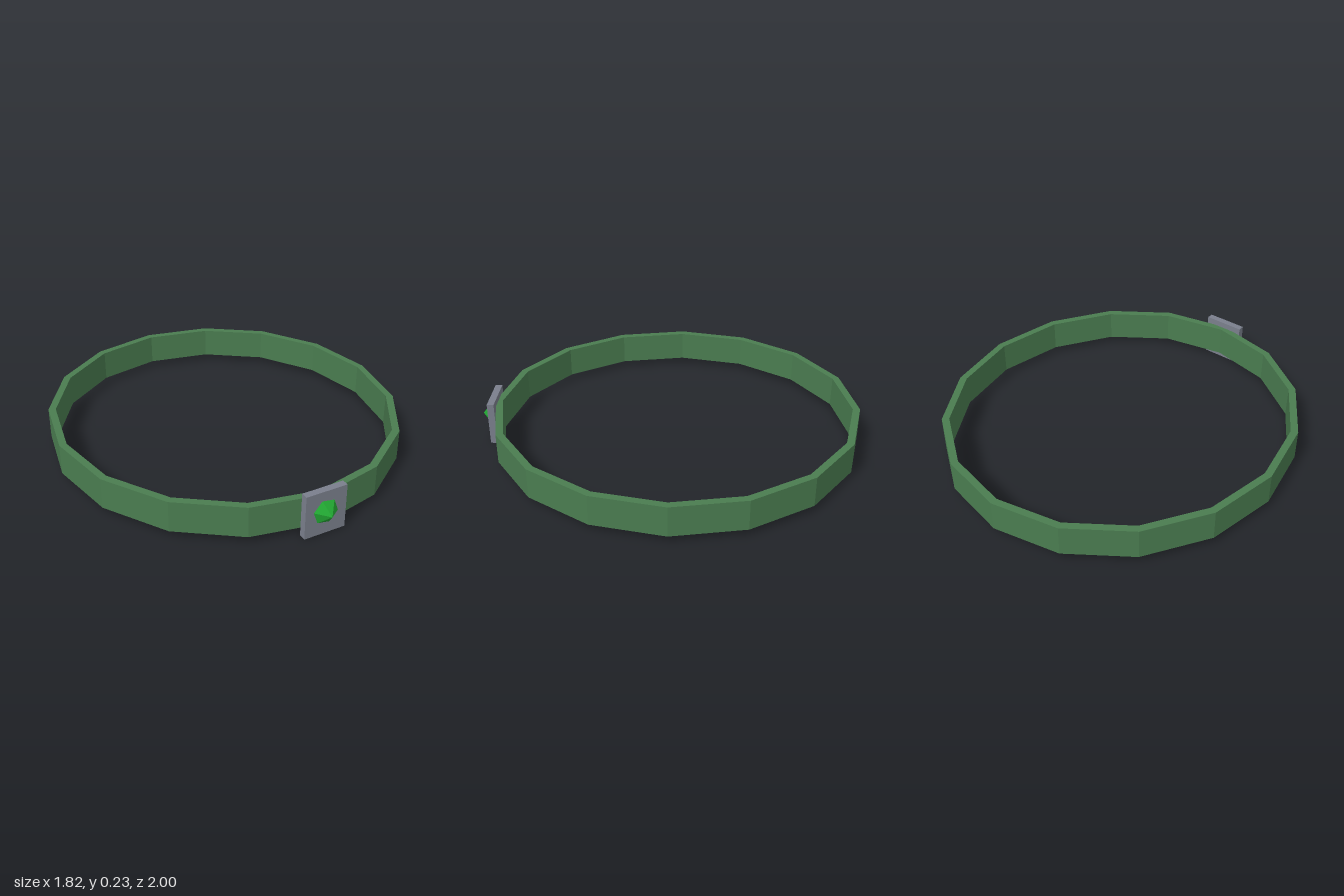
import * as THREE from 'three';

const SIDES = 16;

// Faceted ellipse with a corner at each axis
function ellipsePoints(rx, rz) {
  return Array.from({ length: SIDES }, (_, i) => {
    const a = (i / SIDES) * Math.PI * 2;
    return new THREE.Vector2(Math.cos(a) * rx, Math.sin(a) * rz);
  });
}

function addPart(group, name, geometry, color) {
  const material = new THREE.MeshStandardMaterial({ color, flatShading: true });
  const mesh = new THREE.Mesh(geometry, material);
  mesh.name = name;
  group.add(mesh);
  return mesh;
}

export function createModel() {
  const group = new THREE.Group();
  group.name = 'circlet';

  // Oval band: a faceted ring extruded upward
  const outline = new THREE.Shape(ellipsePoints(0.91, 0.963));
  outline.holes.push(new THREE.Path(ellipsePoints(0.872, 0.925)));
  const bandGeometry = new THREE.ExtrudeGeometry(outline, { depth: 0.162, bevelEnabled: false });
  bandGeometry.rotateX(-Math.PI / 2);
  const band = addPart(group, 'band', bandGeometry, 0x4a7c50);
  band.position.set(0, 0.037, -0.037);

  // Square plate at the front
  const plate = addPart(group, 'frontPlate', new THREE.BoxGeometry(0.22, 0.232, 0.036), 0x7a7f8c);
  plate.position.set(0, 0.116, 0.93);

  // Six-sided gem pointing forward
  const gemGeometry = new THREE.ConeGeometry(0.072, 0.056, 6);
  gemGeometry.rotateX(Math.PI / 2);
  const gem = addPart(group, 'gem', gemGeometry, 0x22aa33);
  gem.rotation.z = THREE.MathUtils.degToRad(20);
  gem.position.set(0, 0.12, 0.972);

  return group;
}
